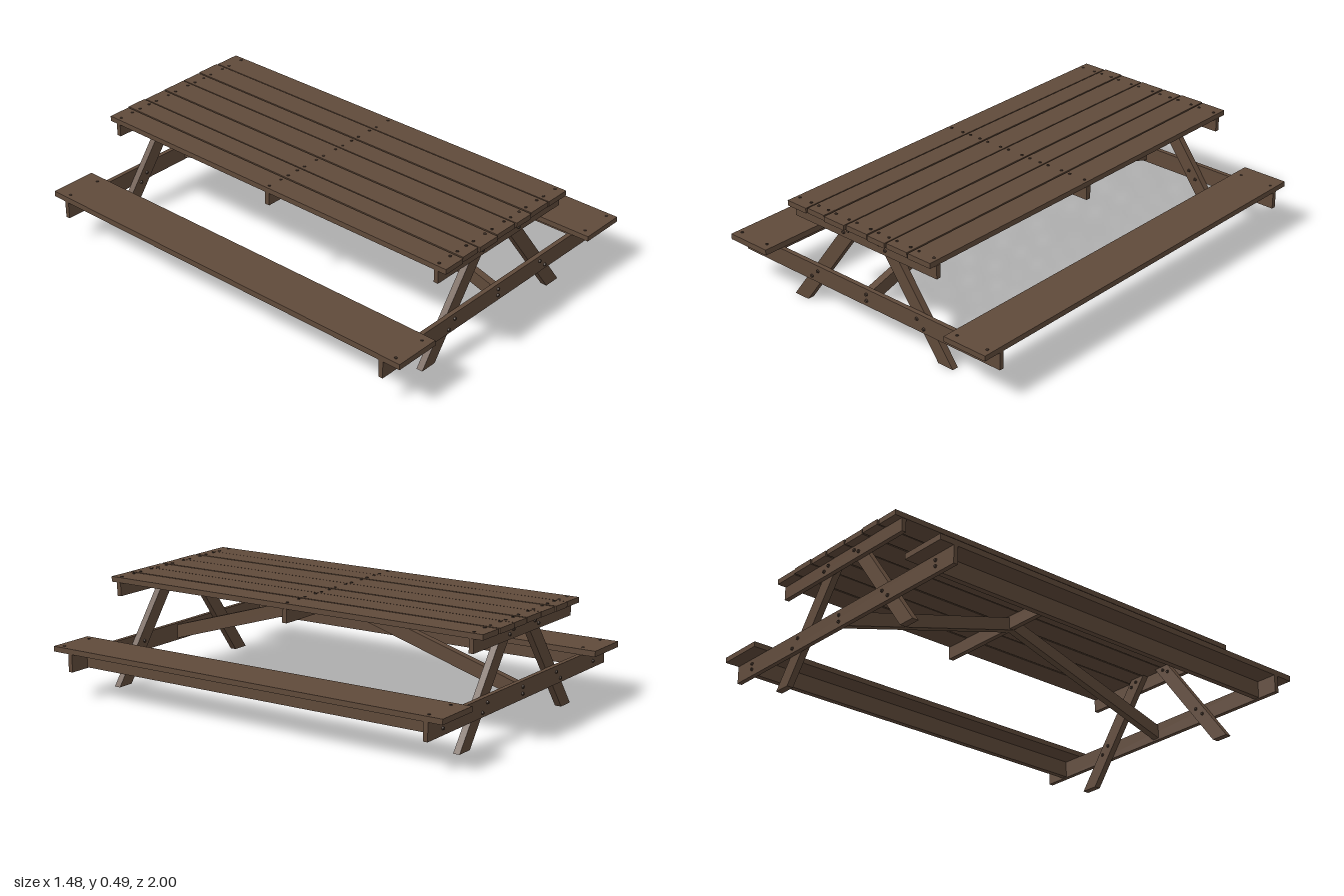
import * as THREE from 'three';

export function createModel() {
  const wood = new THREE.MeshStandardMaterial({ name: 'brown wood', color: 0x604a3a });
  const steel = new THREE.MeshStandardMaterial({ name: 'dark fastener', color: 0x44352b });
  const table = new THREE.Group();
  table.name = 'picnicTable';

  // Board given by its min and max corners
  function board(name, x0, x1, y0, y1, z0, z1) {
    const mesh = new THREE.Mesh(new THREE.BoxGeometry(x1 - x0, y1 - y0, z1 - z0), wood);
    mesh.name = name;
    mesh.position.set((x0 + x1) / 2, (y0 + y1) / 2, (z0 + z1) / 2);
    table.add(mesh);
    return mesh;
  }

  // Board with a slanted outline in the xy plane, extruded along z
  function slanted(name, outline, depth) {
    const shape = new THREE.Shape(outline.map(([x, y]) => new THREE.Vector2(x, y)));
    const geometry = new THREE.ExtrudeGeometry(shape, { depth, bevelEnabled: false });
    geometry.translate(0, 0, -depth / 2);
    const mesh = new THREE.Mesh(geometry, wood);
    mesh.name = name;
    table.add(mesh);
    return mesh;
  }

  // Fastener heads: flat screws on top faces, bolts along z
  const screwGeometry = new THREE.CylinderGeometry(0.006, 0.007, 0.004, 8);
  const boltGeometry = new THREE.CylinderGeometry(0.006, 0.008, 0.008, 8);
  function screw(x, y, z) {
    const mesh = new THREE.Mesh(screwGeometry, steel);
    mesh.name = 'screw';
    mesh.position.set(x, y + 0.001, z);
    table.add(mesh);
  }
  function bolt(x, y, z, side) {
    const mesh = new THREE.Mesh(boltGeometry, steel);
    mesh.name = 'bolt';
    mesh.position.set(x, y, z + side * 0.003);
    mesh.rotation.x = side * Math.PI / 2;
    table.add(mesh);
  }

  // Table top planks, slightly uneven in length and height
  const seams = [-0.413, -0.298, -0.195, -0.073, 0.053, 0.157, 0.279, 0.407];
  const backEnds = [-0.97, -0.975, -0.972, -0.973, -0.975, -0.978, -0.975];
  const frontEnds = [0.955, 0.95, 0.955, 0.948, 0.952, 0.948, 0.949];
  for (let i = 0; i < 7; i++) {
    const x0 = seams[i] + 0.003, x1 = seams[i + 1] - 0.003;
    const top = 0.489 + 0.001 * (i % 2);
    board('topPlank', x0, x1, top - 0.024, top, backEnds[i], frontEnds[i]);
    for (const z of [-0.922, -0.01, 0.905]) {
      screw(x0 + 0.02, top, z);
      screw(x1 - 0.02, top, z);
    }
  }

  // Cleat across the middle of the top
  board('middleCleat', -0.408, 0.407, 0.405, 0.466, -0.022, 0.002);

  for (const side of [1, -1]) {
    // End frames: cleat and seat beam outside, legs inside
    const beamZ = side > 0 ? 0.905 : -0.923;
    const legZ = beamZ - side * 0.0255;
    const face = beamZ + side * 0.0105;
    board('topCleat', -0.408, 0.407, 0.405, 0.466, beamZ - 0.0105, beamZ + 0.0105);
    board('seatBeam', -0.74, 0.74, 0.125, 0.205, beamZ - 0.0105, beamZ + 0.0105);

    for (const s of [1, -1]) {
      const leg = slanted('leg',
        [[0.465, 0], [0.12, 0.465], [0.04, 0.465], [0.385, 0]].map(([x, y]) => [s * x, y]), 0.03);
      leg.position.z = legZ;
      const bolts = [[0.12, 0.428], [0.09, 0.445], [0.328, 0.145], [0.29, 0.18], [0.63, 0.155], [0.63, 0.181]];
      for (const [x, y] of bolts) {
        bolt(s * x, y, face, side);
        if (x < 0.5) bolt(s * x, y, legZ - side * 0.015, -side);
      }
    }
    bolt(0, 0.18, face, side);
    bolt(0, 0.15, face, side);

    // Diagonal brace from the seat beam up to the middle cleat
    const inner = Math.abs(beamZ) - 0.0105;
    const brace = slanted('diagonalBrace',
      [[0, 0.466], [0, 0.405], [inner, 0.133], [inner, 0.197]], 0.034);
    brace.rotation.y = -side * Math.PI / 2;
  }

  // Benches with a stiffening rail underneath
  for (const s of [1, -1]) {
    const top = s > 0 ? 0.229 : 0.231;
    const seat = board('benchSeat', -0.11, 0.11, 0.205, top, -1, 1);
    seat.position.x = s * 0.63;
    const rail = board('benchRail', -0.013, 0.013, 0.128, 0.205, -0.912, 0.894);
    rail.position.x = s * 0.63;
    for (const x of [0.555, 0.715]) {
      screw(s * x, top, -0.923);
      screw(s * x, top, 0.96);
    }
  }

  return table;
}
